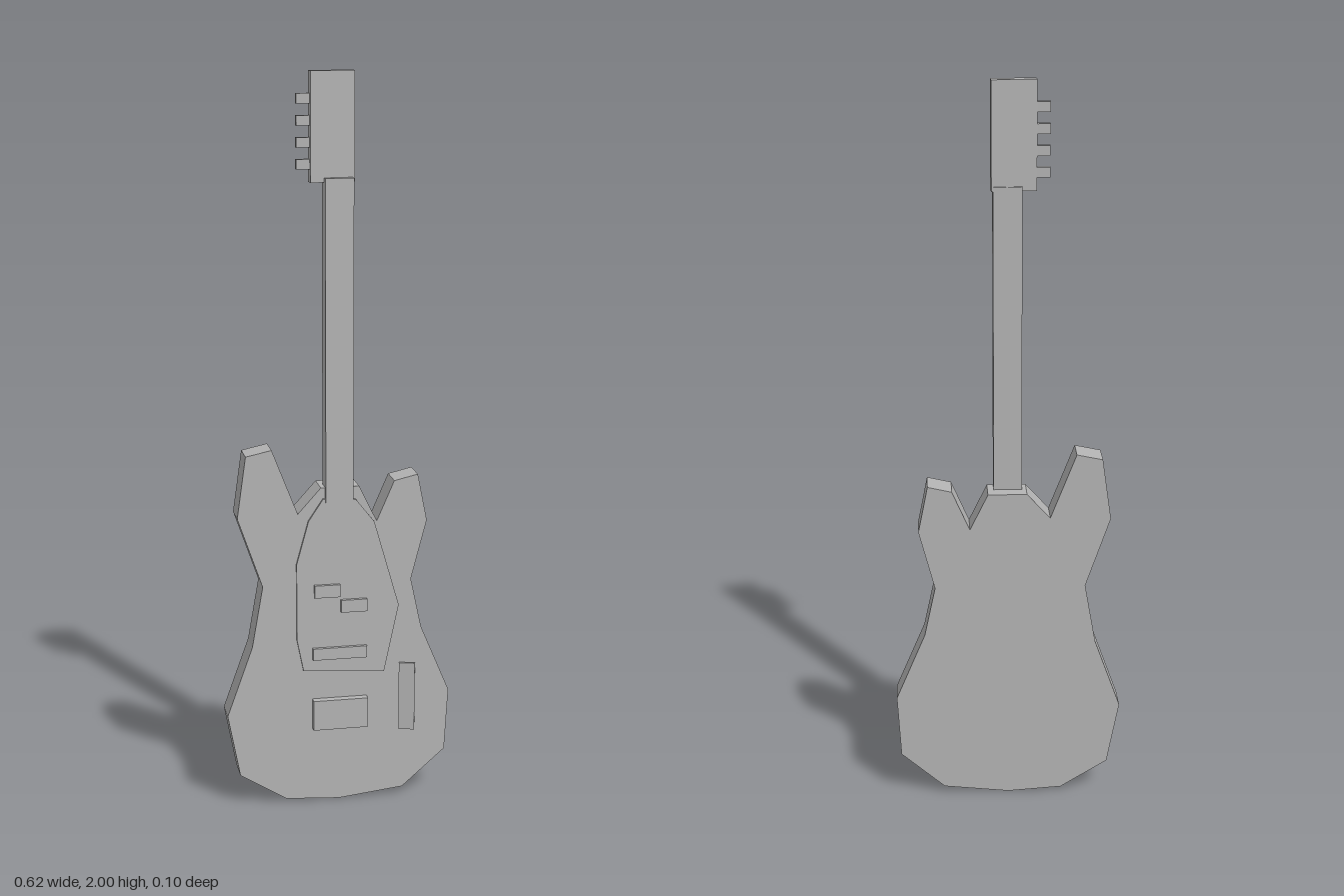
import * as THREE from 'three';

export function createModel() {
  const guitar = new THREE.Group();
  guitar.name = 'electricGuitar';
  const grey = new THREE.MeshStandardMaterial({ color: 0xb4b4b4 });
  grey.name = 'plain grey';

  const add = (name, geometry) => {
    const mesh = new THREE.Mesh(geometry, grey);
    mesh.name = name;
    guitar.add(mesh);
    return mesh;
  };

  // Flat slab cut from an outline, between two depths
  const slab = (name, outline, z0, z1) => {
    const shape = new THREE.Shape(outline.map(([x, y]) => new THREE.Vector2(x, y)));
    const geometry = new THREE.ExtrudeGeometry(shape, { depth: z1 - z0, bevelEnabled: false });
    return add(name, geometry.translate(0, 0, z0));
  };

  // Box given by its limits on each axis
  const block = (name, [x0, x1], [y0, y1], [z0, z1]) => {
    const mesh = add(name, new THREE.BoxGeometry(x1 - x0, y1 - y0, z1 - z0));
    mesh.position.set((x0 + x1) / 2, (y0 + y1) / 2, (z0 + z1) / 2);
    return mesh;
  };

  // Body with two horns
  slab('body', [
    [0, 0], [0.18, 0.02], [0.3, 0.125], [0.31, 0.3], [0.23, 0.49], [0.2, 0.63],
    [0.243, 0.795], [0.217, 0.925], [0.152, 0.91], [0.104, 0.8], [0.055, 0.9],
    [-0.05, 0.9], [-0.113, 0.83], [-0.183, 1.01], [-0.253, 0.995], [-0.277, 0.825],
    [-0.21, 0.63], [-0.24, 0.46], [-0.31, 0.265], [-0.277, 0.09], [-0.148, 0.01],
  ], -0.052, 0.027);

  // Pickguard plate
  slab('pickguard', [
    [-0.1, 0.385], [0.125, 0.37], [0.165, 0.56], [0.096, 0.8], [0.045, 0.865],
    [-0.045, 0.87], [-0.085, 0.81], [-0.118, 0.69], [-0.118, 0.475],
  ], 0.025, 0.034);

  // Pickups and bridge
  block('upperPickup', [-0.07, 0], [0.595, 0.63], [0.025, 0.044]);
  block('lowerPickup', [0.003, 0.075], [0.55, 0.585], [0.025, 0.044]);
  block('bridgePickup', [-0.075, 0.075], [0.417, 0.45], [0.025, 0.044]);
  block('bridge', [-0.075, 0.077], [0.215, 0.3], [0.025, 0.049]);

  // Tilted control plate on the lower bout
  const plate = block('controlPlate', [0.167, 0.211], [0.195, 0.39], [0.033, 0.039]);
  plate.rotation.y = -0.28;

  // Neck and slightly twisted headstock
  block('neck', [-0.038, 0.038], [0.86, 1.727], [-0.013, 0.036]);
  const headstock = block('headstock', [-0.075, 0.043], [1.715, 2], [-0.008, 0.018]);
  headstock.rotation.y = 0.065;

  // Tuning pegs
  for (let i = 0; i < 4; i++) {
    const y = 1.762 + i * 0.056;
    block('tuningPeg' + (i + 1), [-0.11, -0.065], [y - 0.013, y + 0.013], [-0.003, 0.013]);
  }
  return guitar;
}
